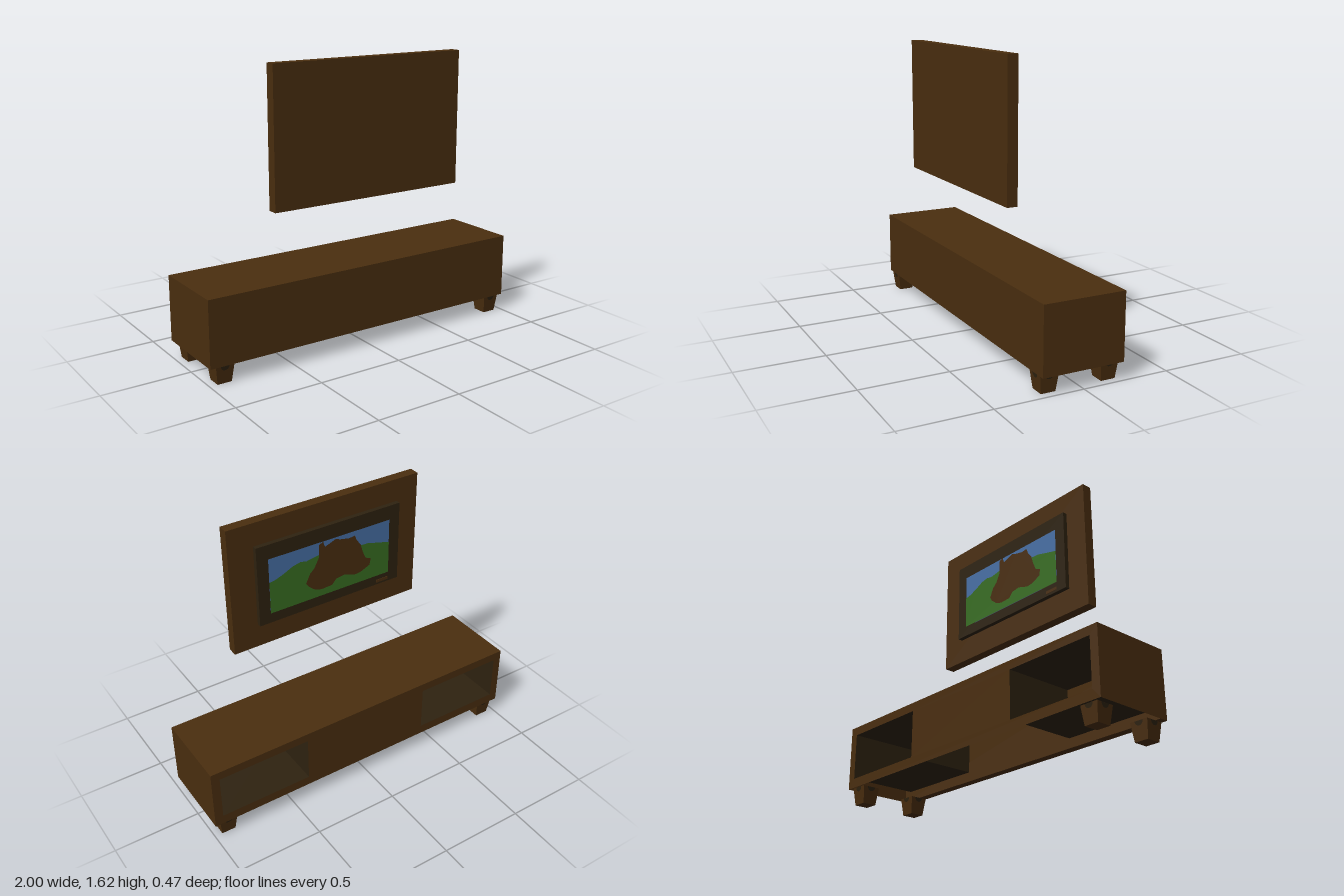
import * as THREE from 'three';

const mat = (name, color, side = THREE.FrontSide) => {
  const m = new THREE.MeshStandardMaterial({ color, side });
  m.name = name;
  return m;
};

export function createModel() {
  const root = new THREE.Group();
  root.name = 'mediaUnit';
  const wood = mat('walnut', 0x4a2e0f, THREE.DoubleSide);
  const dark = mat('darkLining', 0x2e2210, THREE.DoubleSide);
  const sky = mat('skyBlue', 0x4870a6);
  const grass = mat('grassGreen', 0x386e22);

  const add = (name, geo, material, parent = root) => {
    const m = new THREE.Mesh(geo, material);
    m.name = name;
    parent.add(m);
    return m;
  };
  // Box given by its minimum and maximum corners
  const box = (name, x0, x1, y0, y1, z0, z1, material) => {
    const m = add(name, new THREE.BoxGeometry(x1 - x0, y1 - y0, z1 - z0), material);
    m.position.set((x0 + x1) / 2, (y0 + y1) / 2, (z0 + z1) / 2);
    return m;
  };
  // Flat quad: size, centre and rotation
  const plane = (name, w, h, pos, rot, material) => {
    const m = add(name, new THREE.PlaneGeometry(w, h), material);
    m.position.set(...pos);
    m.rotation.set(...rot);
  };

  // Cabinet shell, open underneath
  const W = 1, Y0 = 0.1, Y1 = 0.475, Z = 0.235, IZ = 0.185;
  const P0 = 0.4, P1 = 0.95, PY0 = 0.155, PY1 = 0.425;
  box('cabinetFront', -W, W, Y0, Y1, IZ, Z, wood);
  plane('cabinetTop', 2 * W, IZ + Z, [0, Y1, (IZ - Z) / 2], [-Math.PI / 2, 0, 0], wood);
  for (const s of [-1, 1])
    plane('cabinetEnd', IZ + Z, Y1 - Y0, [s * W, (Y0 + Y1) / 2, (IZ - Z) / 2], [0, s * Math.PI / 2, 0], wood);

  // Back face with two shelf openings
  const face = new THREE.Shape([[-W, Y0], [W, Y0], [W, Y1], [-W, Y1]].map(p => new THREE.Vector2(...p)));
  for (const s of [-1, 1])
    face.holes.push(new THREE.Path([[P0, PY0], [P0, PY1], [P1, PY1], [P1, PY0]].map(([x, y]) => new THREE.Vector2(s * x, y))));
  const back = add('cabinetBack', new THREE.ShapeGeometry(face), wood);
  back.rotation.y = Math.PI;
  back.position.z = -Z;

  // Dark linings of the two compartments
  const depth = IZ + Z, midZ = (IZ - Z) / 2, midY = (PY0 + PY1) / 2;
  for (const s of [-1, 1]) {
    const cx = s * (P0 + P1) / 2;
    plane('compartmentFloor', P1 - P0, depth, [cx, PY0, midZ], [-Math.PI / 2, 0, 0], dark);
    plane('compartmentCeiling', P1 - P0, depth, [cx, PY1, midZ], [Math.PI / 2, 0, 0], dark);
    plane('compartmentInnerSide', depth, PY1 - PY0, [s * P0, midY, midZ], [0, s * Math.PI / 2, 0], dark);
    plane('compartmentOuterSide', depth, PY1 - PY0, [s * P1, midY, midZ], [0, -s * Math.PI / 2, 0], dark);
  }

  // Tapered square legs with a small dark half-round inlay on each side
  const legGeo = new THREE.CylinderGeometry(0.053 * Math.SQRT2, 0.041 * Math.SQRT2, 0.1, 4, 1).toNonIndexed();
  legGeo.rotateY(Math.PI / 4);
  legGeo.computeVertexNormals();
  const inlayGeo = new THREE.CircleGeometry(0.025, 12, Math.PI, Math.PI);
  for (const x of [-0.914, 0.914]) for (const z of [-0.17, 0.179]) {
    const leg = new THREE.Group();
    leg.name = 'leg';
    leg.position.set(x, 0, z);
    root.add(leg);
    add('legBlock', legGeo, wood, leg).position.y = 0.05;
    for (let i = 0; i < 4; i++) {
      const side = new THREE.Group();
      side.name = 'legSide';
      side.rotation.y = i * Math.PI / 2;
      leg.add(side);
      const inlay = add('legInlay', inlayGeo, dark, side);
      inlay.position.set(0, 0.0995, 0.0536);
      inlay.rotation.x = Math.atan(0.12);
    }
  }

  // Wall panel and screen housing
  box('wallPanel', -0.597, 0.608, 0.86, 1.625, 0.165, 0.225, wood);
  box('screenHousing', -0.46, 0.457, 1.005, 1.49, 0.138, 0.165, dark);

  // Landscape on the screen: points are across and down, in hundredths of the screen width
  const layer = (name, pts, z, material) => {
    const shape = new THREE.Shape(pts.map(([u, v]) => new THREE.Vector2(u * 0.0078 - 0.388, 1.404 - v * 0.0078)));
    const m = add(name, new THREE.ShapeGeometry(shape), material);
    m.rotation.y = Math.PI;
    m.position.z = z;
  };
  layer('screenSky', [[0, 0], [100, 0], [100, 43.4], [0, 43.4]], 0.137, sky);
  layer('screenHills', [[0, 18.5], [5, 17.5], [11, 15.3], [19, 11.5], [25, 10.2], [30, 11.2], [40, 9.5], [52, 12],
    [68, 15], [75, 13], [82, 13.3], [88, 15], [94, 16.5], [100, 18], [100, 43.4], [0, 43.4]], 0.1355, grass);
  layer('screenRock', [[40, 1.5], [43.5, 0], [45, 4.5], [54, 1], [57.5, 2.5], [65, 4], [70, 3.4], [71.5, 7.5],
    [75, 12], [77, 19], [79.5, 24.5], [84, 26.5], [83, 31.5], [75, 35], [70, 35.5], [61, 32.6], [54, 33.6],
    [50.5, 37.5], [41.5, 38], [36, 36.3], [31, 32.2], [29, 29], [32.5, 22], [36, 18.8], [40, 11.3]], 0.134, wood);
  box('screenBadge', -0.39, -0.31, 1.018, 1.036, 0.135, 0.14, wood);

  return root;
}
